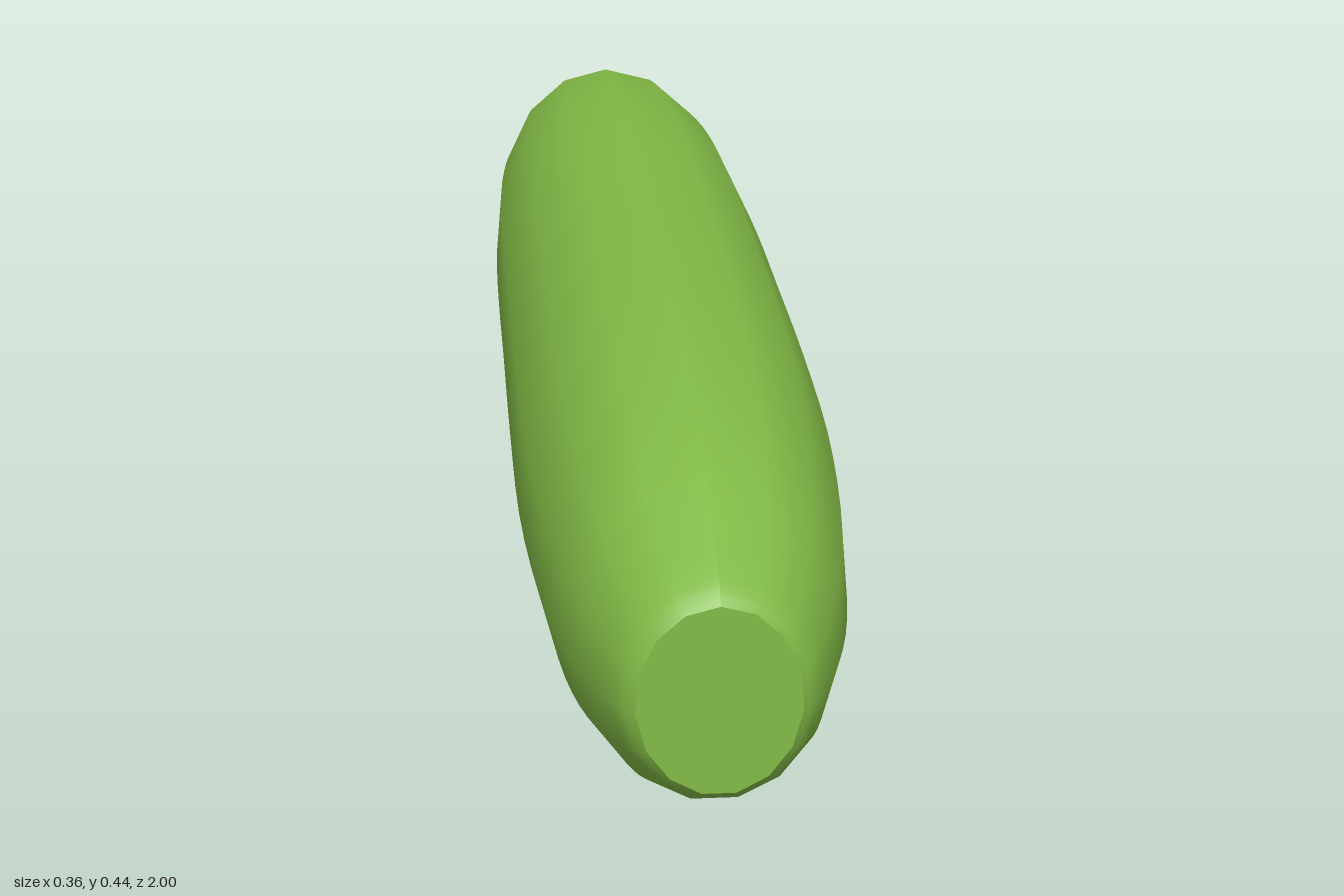
import * as THREE from 'three';

const SIDES = 15, STEPS = 42;
const LOW = Math.sin(THREE.MathUtils.degToRad(78)); // flat side of the 15-gon lies underneath

// Cross-sections from back to front: z, tilt, half width, bottom, top
const SECTIONS = [
  [-0.992, -0.09, 0.076, 0.1, 0.278],
  [-0.975, -0.07, 0.098, 0.086, 0.3],
  [-0.92, -0.04, 0.122, 0.06, 0.334],
  [-0.83, -0.02, 0.146, 0.028, 0.373],
  [-0.7, 0, 0.163, 0.009, 0.403],
  [-0.5, 0, 0.176, 0.002, 0.426],
  [-0.25, 0, 0.18, 0.01, 0.437],
  [0, 0, 0.18, 0.015, 0.437],
  [0.25, 0, 0.18, 0.013, 0.437],
  [0.5, 0, 0.177, 0.004, 0.431],
  [0.7, 0, 0.164, 0.01, 0.412],
  [0.83, 0, 0.146, 0.03, 0.383],
  [0.92, 0, 0.122, 0.056, 0.345],
  [0.98, 0, 0.1, 0.085, 0.315],
  [1, 0, 0.082, 0.1, 0.297],
];
const spline = (f) => new THREE.CatmullRomCurve3(SECTIONS.map(f), false, 'catmullrom', 0.5);
const sizes = spline(([, , w, low, top]) => new THREE.Vector3(w, low, top));
const places = spline(([z, tilt]) => new THREE.Vector3(z, tilt, 0));

// Maps a point of the unit disc onto the cross-section at t (0 back, 1 front)
function onSection(x, y, t) {
  const s = sizes.getPoint(t), p = places.getPoint(t);
  const h = (s.z - s.y) / (1 + LOW);
  return [x * s.x, s.z - h + y * h, p.x + p.y * y * h];
}

function reshape(geometry, sectionAt) {
  const pos = geometry.attributes.position;
  for (let i = 0; i < pos.count; i++) {
    const x = pos.getX(i), y = pos.getY(i), z = pos.getZ(i);
    pos.setXYZ(i, ...onSection(x, y, sectionAt(z)));
  }
  geometry.computeVertexNormals();
  return geometry;
}

export function createModel() {
  const group = new THREE.Group();
  group.name = 'cucumber';
  const green = new THREE.MeshStandardMaterial({ color: 0x82ba46 });
  green.name = 'cucumber green';

  const add = (name, geometry) => {
    const mesh = new THREE.Mesh(geometry, green);
    mesh.name = name;
    group.add(mesh);
  };

  // Smooth tapered body, laid along z with a corner and the seam on top
  const tube = new THREE.CylinderGeometry(1, 1, 1, SIDES, STEPS, true, Math.PI);
  tube.rotateX(Math.PI / 2);
  add('body', reshape(tube, (z) => THREE.MathUtils.clamp(z + 0.5, 0, 1)));

  // Flat cut ends
  const disc = () => new THREE.CircleGeometry(1, SIDES, Math.PI / 2);
  add('frontEnd', reshape(disc(), () => 1));
  add('backEnd', reshape(disc().rotateY(Math.PI), () => 0));

  return group;
}
